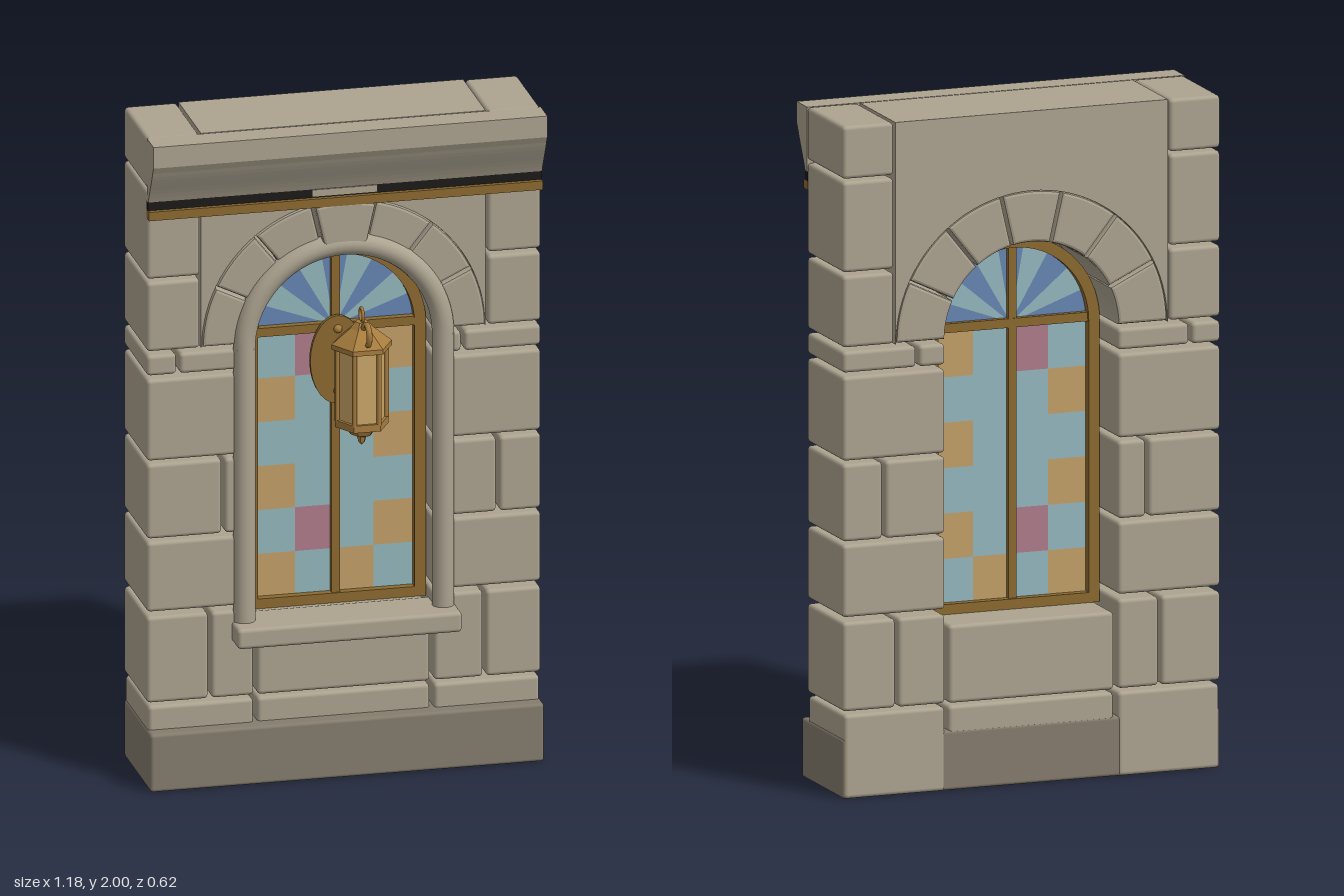
import * as THREE from 'three';
import { RoundedBoxGeometry } from 'three/addons/geometries/RoundedBoxGeometry.js';

const paint = (name, color, side = THREE.FrontSide) => {
  const m = new THREE.MeshStandardMaterial({ color, side });
  m.name = name;
  return m;
};

export function createModel() {
  const model = new THREE.Group();
  model.name = 'archedWindowWall';
  const stone = paint('stone', 0xaca390), plinthStone = paint('plinthStone', 0x857c6d);
  const brass = paint('agedBrass', 0x8c6a30), lampBrass = paint('lampBrass', 0xa87d3e);
  const lampGlass = paint('lampGlass', 0xcba768), shadowStrip = paint('darkStrip', 0x1c1a18);
  const teal = paint('tealGlass', 0x93b7bd, THREE.DoubleSide), amber = paint('amberGlass', 0xc2a068, THREE.DoubleSide);
  const rose = paint('roseGlass', 0xb07c8b, THREE.DoubleSide), blue = paint('blueGlass', 0x6685b3, THREE.DoubleSide);

  const add = (name, geo, mat, x = 0, y = 0, z = 0, parent = model) => {
    const mesh = new THREE.Mesh(geo, mat);
    mesh.name = name;
    mesh.position.set(x, y, z);
    parent.add(mesh);
    return mesh;
  };
  // Box given by its limits, with optional rounded edges
  const block = (name, x0, x1, y0, y1, z0, z1, mat = stone, r = 0.012) => {
    const w = x1 - x0, h = y1 - y0, d = z1 - z0;
    const geo = r ? new RoundedBoxGeometry(w, h, d, 2, Math.min(r, w / 3, h / 3)) : new THREE.BoxGeometry(w, h, d);
    return add(name, geo, mat, (x0 + x1) / 2, (y0 + y1) / 2, (z0 + z1) / 2);
  };
  const BACK = -0.305, FACE = -0.014, W = 0.588, JAMB = 0.27, SPRING = 1.34;

  // Side masonry: y range, inner edge, joint on the right side (-x), joint on the left side (+x)
  const rows = [
    [0.0, 0.25, JAMB],
    [0.26, 0.525, JAMB, 0.4, 0.42],
    [0.54, 0.755, JAMB],
    [0.765, 0.995, JAMB, 0.36, 0.46],
    [1.005, 1.255, JAMB],
    [1.267, 1.33, JAMB, 0.495, 0.355],
    [1.342, 1.555, 0.43],
    [1.565, 1.835, 0.43],
    [1.843, 2.0, 0.43],
  ];
  for (const [y0, y1, inner, jointR, jointL] of rows) {
    for (const s of [-1, 1]) {
      const joint = s < 0 ? jointR : jointL;
      const outer = y0 === 0 ? W - 0.004 : W;
      const spans = joint ? [[inner, joint - 0.005], [joint + 0.005, outer]] : [[inner, outer]];
      for (const [a, b] of spans) block('wallBlock', s < 0 ? -b : a, s < 0 ? -a : b, y0, y1, BACK, FACE);
    }
  }
  block('plinth', -W, W, 0, 0.178, -0.302, 0.03, plinthStone, 0.01);
  block('lowerCourse', -0.257, 0.257, 0.15, 0.25, -0.3, FACE - 0.004);
  block('apronPanel', -0.257, 0.257, 0.258, 0.49, -0.303, FACE - 0.004);
  block('sill', -0.335, 0.335, 0.43, 0.492, -0.1, 0.064);

  // Panel above the arch
  const panel = new THREE.Shape();
  panel.moveTo(-0.425, 2);
  panel.lineTo(-0.425, SPRING);
  panel.absarc(0, SPRING, 0.423, Math.PI, 0, true);
  panel.lineTo(0.425, SPRING);
  panel.lineTo(0.425, 2);
  add('spandrelPanel', new THREE.ExtrudeGeometry(panel, { depth: 0.28, bevelEnabled: false, curveSegments: 24 }), stone, 0, 0, -0.303);

  // Seven arch stones, the middle one standing slightly proud
  const step = Math.PI / 7, bevel = 0.009;
  for (let i = 0; i < 7; i++) {
    const a0 = i * step, a1 = a0 + step, rIn = JAMB + bevel, rOut = 0.422 - bevel;
    const gi = (bevel + 0.003) / rIn, go = (bevel + 0.003) / rOut;
    const s = new THREE.Shape();
    s.absarc(0, 0, rOut, a0 + go, a1 - go, false);
    s.absarc(0, 0, rIn, a1 - gi, a0 + gi, true);
    s.closePath();
    const front = i === 3 ? 0.008 : FACE;
    const geo = new THREE.ExtrudeGeometry(s, {
      depth: front - BACK - 2 * bevel, bevelSize: bevel, bevelThickness: bevel, bevelSegments: 2, curveSegments: 5,
    });
    add(i === 3 ? 'keystone' : 'archStone', geo, stone, 0, SPRING, BACK + bevel);
  }

  // Rounded moulding around the opening
  for (const s of [-1, 1]) add('jambMoulding', new THREE.CylinderGeometry(0.033, 0.033, 0.86, 16), stone, s * 0.297, 0.9, -0.02);
  add('archMoulding', new THREE.TorusGeometry(0.297, 0.033, 14, 36, Math.PI), stone, 0, 1.33, -0.02);

  // Cornice with a cove underneath, then a dark strip and a brass band
  const cove = new THREE.Shape();
  cove.moveTo(-0.018, 2);
  cove.lineTo(-0.018, 1.808);
  cove.lineTo(0.0, 1.808);
  cove.bezierCurveTo(0.018, 1.85, 0.04, 1.88, 0.055, 1.915);
  cove.lineTo(0.066, 1.935);
  cove.lineTo(0.066, 2);
  const coveGeo = new THREE.ExtrudeGeometry(cove, { depth: 2 * W, bevelEnabled: false, curveSegments: 8 });
  coveGeo.rotateY(-Math.PI / 2);
  add('cornice', coveGeo, stone, W, 0, 0);
  block('corniceShadowStrip', -W, W, 1.78, 1.808, -0.02, -0.004, shadowStrip, 0);
  block('corniceBracket', -0.097, 0.097, 1.784, 1.806, -0.02, 0.0, stone, 0);
  block('brassBand', -W, W, 1.754, 1.781, -0.02, 0.01, brass, 0);

  // Window frame
  const arched = (Cls, r, y0) => {
    const p = new Cls();
    p.moveTo(-r, y0);
    p.lineTo(r, y0);
    p.lineTo(r, 1.33);
    p.absarc(0, 1.33, r, 0, Math.PI, false);
    p.lineTo(-r, y0);
    return p;
  };
  const frame = arched(THREE.Shape, 0.268, 0.49);
  frame.holes.push(arched(THREE.Path, 0.234, 0.52));
  add('windowFrame', new THREE.ExtrudeGeometry(frame, { depth: 0.05, bevelEnabled: false, curveSegments: 24 }), brass, 0, 0, -0.16);
  block('mullion', -0.013, 0.013, 0.51, 1.575, -0.15, -0.115, brass, 0);
  block('transom', -0.24, 0.24, 1.325, 1.352, -0.152, -0.112, brass, 0);

  // Glass squares, top row first: t teal, a amber, r rose
  const pattern = ['trta', 'attt', 'ttta', 'attt', 'trta', 'atat'];
  const colours = { t: teal, a: amber, r: rose }, tw = 0.117, th = 0.135;
  pattern.forEach((row, j) => [...row].forEach((c, i) =>
    add('glassSquare', new THREE.PlaneGeometry(tw, th), colours[c], (i - 1.5) * tw, 1.325 - (j + 0.5) * th, -0.135)));
  // Fan light
  for (let i = 0; i < 9; i++) {
    add('fanGlass', new THREE.CircleGeometry(0.24, 6, i * Math.PI / 9, Math.PI / 9), i % 2 ? teal : blue, 0, 1.337, -0.135);
  }

  // Hanging lantern
  const lantern = new THREE.Group();
  lantern.name = 'lantern';
  lantern.position.set(0, 0, 0.205);
  model.add(lantern);
  const hexLathe = (pts) => {
    const geo = new THREE.LatheGeometry(pts.map(([x, y]) => new THREE.Vector2(x, y)), 6, Math.PI / 6).toNonIndexed();
    geo.computeVertexNormals();
    return geo;
  };
  const part = (name, geo, mat = lampBrass, x = 0, y = 0, z = 0) => add(name, geo, mat, x, y, z, lantern);
  part('lanternRoof', hexLathe([[0, 1.385], [0.09, 1.385], [0.09, 1.4], [0.06, 1.425], [0.035, 1.445], [0.02, 1.465], [0, 1.468]]));
  part('lanternPanes', hexLathe([[0.07, 1.165], [0.07, 1.39]]), lampGlass);
  part('lanternBase', hexLathe([[0, 1.085], [0.01, 1.095], [0.014, 1.112], [0.034, 1.12], [0.045, 1.14], [0.08, 1.146], [0.08, 1.168], [0, 1.168]]));
  for (let i = 0; i < 6; i++) {
    const a = i * Math.PI / 3;
    part('lanternPost', new THREE.CylinderGeometry(0.008, 0.008, 0.23, 6), lampBrass, 0.073 * Math.cos(a), 1.278, 0.073 * Math.sin(a));
  }
  part('lanternRing', new THREE.TorusGeometry(0.02, 0.005, 8, 20), lampBrass, 0, 1.485, 0).rotation.y = Math.PI / 2;

  // Scroll and bracket arms, as tubes through (y, z) points
  const rod = (name, pts, r) => {
    const curve = new THREE.CatmullRomCurve3(pts.map(([y, z]) => new THREE.Vector3(0, y, z)));
    return add(name, new THREE.TubeGeometry(curve, 24, r, 8), lampBrass);
  };
  rod('frontScroll', [[1.44, 0.215], [1.465, 0.245], [1.475, 0.275], [1.46, 0.299], [1.43, 0.298], [1.418, 0.285]], 0.009);
  rod('upperArm', [[1.35, 0.13], [1.31, 0.09], [1.275, 0.05], [1.258, 0.0], [1.25, -0.1]], 0.01);
  rod('lowerArm', [[1.3, 0.125], [1.25, 0.085], [1.205, 0.055], [1.18, 0.0], [1.18, -0.1]], 0.008);

  // Oval back plate with bolts
  const plate = add('backPlate', new THREE.CylinderGeometry(0.082, 0.082, 0.014, 28), brass, 0, 1.245, -0.098);
  plate.rotation.x = Math.PI / 2;
  plate.scale.z = 1.65;
  for (const y of [1.15, 1.34]) add('plateBolt', new THREE.SphereGeometry(0.013, 10, 8), lampBrass, 0, y, -0.09);

  return model;
}
